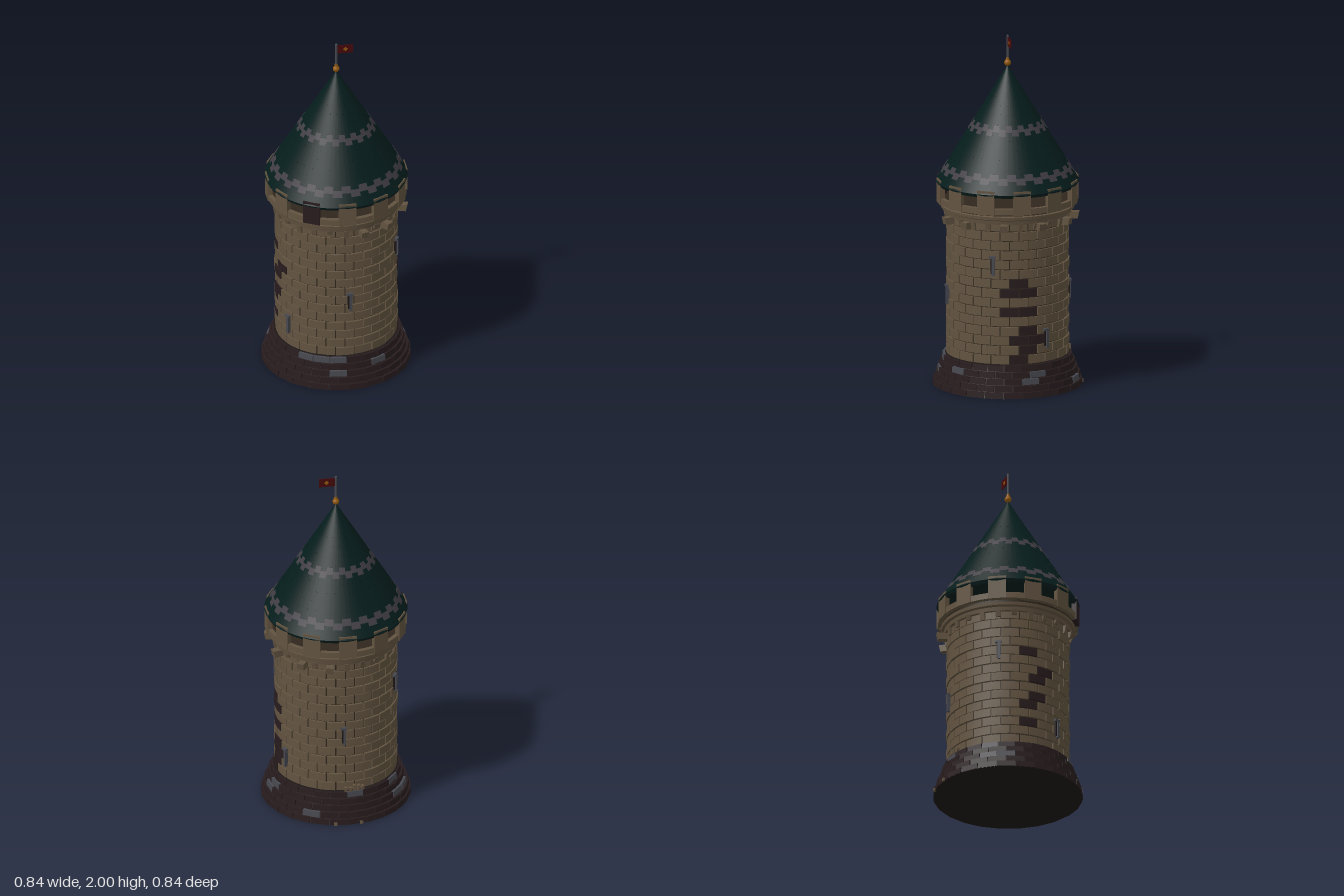
import * as THREE from 'three';
import { mergeGeometries } from 'three/addons/utils/BufferGeometryUtils.js';

const DEG = Math.PI / 180;
const mat = (name, color, side = THREE.FrontSide) => {
  const m = new THREE.MeshStandardMaterial({ color, side });
  m.name = name;
  return m;
};

// Box bent around the y axis; radii may differ at bottom and top. Angles in degrees, 0 = front, 90 = +x.
function arcBlock(a0, a1, y0, y1, inB, outB, inT = inB, outT = outB, seg = 2) {
  const g = new THREE.BoxGeometry(1, 1, 1, seg, 1, 1);
  const p = g.attributes.position;
  for (let i = 0; i < p.count; i++) {
    const a = (a0 + (a1 - a0) * (p.getX(i) + 0.5)) * DEG;
    const t = p.getY(i) + 0.5, k = p.getZ(i) + 0.5;
    const inner = inB + (inT - inB) * t, outer = outB + (outT - outB) * t;
    const r = inner + (outer - inner) * k;
    p.setXYZ(i, r * Math.sin(a), y0 + (y1 - y0) * t, r * Math.cos(a));
  }
  g.computeVertexNormals();
  return g;
}

export function createModel() {
  const M = {
    stone: mat('sandstone', 0x625340),
    mortar: mat('mortar', 0x30271d),
    brown: mat('dark brown stone', 0x281c1e),
    grey: mat('grey stone', 0x47484f),
    roof: mat('teal slate', 0x051d1c),
    roofDark: mat('dark slate', 0x041514),
    band: mat('roof band grey', 0x403d43),
    gold: mat('gold', 0x92590e),
    flag: mat('red cloth', 0x45080b, THREE.DoubleSide),
    dark: mat('shadow black', 0x1d1716),
  };
  const group = new THREE.Group();
  const add = (name, geo, material) => {
    const m = new THREE.Mesh(Array.isArray(geo) ? mergeGeometries(geo) : geo, material);
    m.name = name;
    group.add(m);
  };
  let seed = 7;
  const rnd = () => (seed = (seed * 16807) % 2147483647) / 2147483647;
  // One lathe per profile segment keeps the edges sharp
  const lathe = (pts, seg = 48) => {
    const parts = [];
    for (let i = 0; i + 1 < pts.length; i++)
      parts.push(new THREE.LatheGeometry([pts[i], pts[i + 1]].map(q => new THREE.Vector2(q[0], q[1])), seg));
    return mergeGeometries(parts);
  };

  // Plinth: five stepped courses of dark stone with a few grey ones
  const plinth = { brown: [], grey: [] };
  [0.423, 0.411, 0.397, 0.383, 0.368].forEach((r, row) => {
    const step = 360 / 24, y = row * 0.036;
    for (let i = 0; i < 24; i++) {
      const a = (i + (row % 2) / 2) * step;
      const kind = row > 0 && rnd() < (row === 4 ? 0.25 : 0.09) ? 'grey' : 'brown';
      const ro = r - rnd() * 0.003;
      plinth[kind].push(arcBlock(a + 0.4, a + step - 0.4, y + 0.001, y + 0.034, 0.33, ro, 0.33, ro - 0.003, 1));
    }
  });
  add('plinthStones', plinth.brown, M.brown);
  add('plinthGreyStones', plinth.grey, M.grey);
  add('plinthCore', lathe([[0, 0], [0.418, 0], [0.352, 0.178], [0.33, 0.18]], 24), M.dark);

  // Wall: brick courses around a mortar core, with dark bricks on both flanks
  const rows = 15, h = 0.82 / rows, step = 18;
  const patches = [[0, 80, 98], [1, 89, 107], [2, 80, 116], [3, 89, 107], [5, 71, 107], [7, 71, 107], [8, 80, 98],
    [2, 260, 278], [4, 260, 278], [5, 269, 287], [7, 269, 287], [8, 278, 296], [10, 260, 278]];
  const wall = { stone: [], brown: [] };
  for (let row = 0; row < rows; row++) {
    const y = 0.18 + row * h;
    for (let i = 0; i < 20; i++) {
      const a = i * step + 8 + (row % 2) * step / 2, c = (a + step / 2) % 360;
      const dark = patches.some(([pr, p0, p1]) => pr === row && c > p0 && c < p1);
      const r = 0.341 + (row % 2) * 0.003 + rnd() * 0.004;
      wall[dark ? 'brown' : 'stone'].push(
        arcBlock(a + 0.6, a + step - 0.6, y + 0.0032, y + h - 0.0032, 0.325, r));
    }
  }
  add('wallBricks', wall.stone, M.stone);
  add('wallDarkBricks', wall.brown, M.brown);
  add('wallMortar', lathe([[0.334, 0.17], [0.334, 1.01]]), M.mortar);

  // Arrow slits: dark opening, grey jamb and lintel
  const slitDark = [], slitGrey = [];
  [[3, 0.53], [64, 0.75], [116, 0.32], [177, 0.53], [240, 0.75], [300, 0.32]].forEach(([a, y]) => {
    slitDark.push(arcBlock(a - 1.4, a - 0.2, y - 0.045, y + 0.045, 0.34, 0.353));
    slitGrey.push(arcBlock(a - 0.2, a + 2.2, y - 0.055, y + 0.045, 0.34, 0.361));
    slitGrey.push(arcBlock(a - 2.8, a + 2.8, y + 0.043, y + 0.056, 0.34, 0.362));
  });
  add('arrowSlitOpenings', slitDark, M.dark);
  add('arrowSlitFrames', slitGrey, M.grey);

  // Corbels and water spouts under the cornice
  const corbels = [];
  for (let i = 0; i < 24; i++)
    corbels.push(arcBlock(i * 15 - 2.2, i * 15 + 2.2, 0.945 + (i % 3) * 0.012, 0.995, 0.33, 0.353, 0.33, 0.362));
  add('corbels', corbels, M.stone);
  add('waterSpouts', [15, 40, 75, 108, 140, 165].map(a =>
    arcBlock(a - 3, a + 3, 0.952, 0.992, 0.33, 0.395, 0.33, 0.404, 1)), M.stone);

  // Cornice mouldings and walkway floor
  add('cornice', lathe([[0.33, 0.99], [0.358, 0.99], [0.362, 1.012], [0.375, 1.018], [0.378, 1.036],
    [0.366, 1.04]]), M.stone);
  add('corniceGroove', lathe([[0.366, 1.038], [0.366, 1.053], [0.39, 1.053]]), M.mortar);
  add('walkway', lathe([[0.375, 1.056], [0, 1.056]]), M.mortar);

  // Parapet: low wall and twelve merlons carrying the roof
  const low = [], merlons = [], darkMerlons = [];
  for (let i = 0; i < 12; i++) {
    const a = i * 30;
    low.push(arcBlock(a + 7, a + 23, 1.052, 1.087, 0.37, 0.395));
    (i === 11 ? darkMerlons : merlons).push(arcBlock(a - 7.2, a + 7.2, 1.05, 1.187, 0.372, 0.4, 0.372, 0.4, 1));
  }
  add('parapetWall', low, M.stone);
  add('merlons', merlons, M.stone);
  add('darkMerlon', darkMerlons, M.brown);

  // Conical roof with closed underside
  const top = 1.83, eave = 1.168, eaveR = 0.402;
  const roofR = y => eaveR * (top - y) / (top - eave);
  add('roof', lathe([[0, 1.149], [0.392, 1.149], [eaveR, eave], [0.0005, top]], 64), M.roof);
  const roofTile = (a, w, y0, y1, lift) => arcBlock(a - w / 2, a + w / 2, y0, y1,
    roofR(y0) - 0.006, roofR(y0) + lift, roofR(y1) - 0.006, roofR(y1) + lift, 2);

  // Two staggered bands of grey tiles
  const bands = [];
  [[1.493, 36], [1.246, 44]].forEach(([y, n]) => {
    for (let i = 0; i < n; i++) {
      const s = i % 2 ? -0.01 : 0.01;
      bands.push(roofTile(i * 360 / n, 360 / n + 0.2, y - 0.017 + s, y + 0.017 + s, 0.002));
    }
  });
  add('roofBands', bands, M.band);

  // Small dark slate gaps in rows
  const marks = [];
  for (let row = 0; row < 9; row++) {
    const y = 1.3 + row * 0.045;
    if (Math.abs(y - 1.493) < 0.035) continue;
    const n = Math.round(36 - row * 2.2);
    for (let i = 0; i < n; i++)
      marks.push(roofTile((i + (row % 2) / 2) * 360 / n, 0.4 / roofR(y), y, y + 0.006, 0.001));
  }
  add('slateGaps', marks, M.roofDark);

  // Finial, pole and flag
  add('finialBall', new THREE.SphereGeometry(0.019, 16, 12).translate(0, 1.842, 0), M.gold);
  add('finialCollar', new THREE.CylinderGeometry(0.008, 0.012, 0.02, 16).translate(0, 1.863, 0), M.gold);
  add('flagPole', new THREE.CylinderGeometry(0.007, 0.007, 0.17, 10).translate(0, 1.915, 0), M.grey);
  add('flag', new THREE.BoxGeometry(0.09, 0.05, 0.005).translate(0.051, 1.966, 0), M.flag);
  add('flagDiamond', new THREE.BoxGeometry(0.02, 0.02, 0.007).rotateZ(Math.PI / 4).translate(0.053, 1.966, 0), M.gold);

  // Loose stones on and beside the plinth at the back
  const loose = [170, 190].map(a => arcBlock(a - 1.2, a + 1.2, 0, 0.016, 0.41, 0.427));
  for (let i = 0; i < 5; i++)
    loose.push(arcBlock(178 + i * 4, 180.5 + i * 4, 0.18, 0.2 + rnd() * 0.03, 0.34, 0.362));
  add('looseStones', loose, M.stone);

  return group;
}
